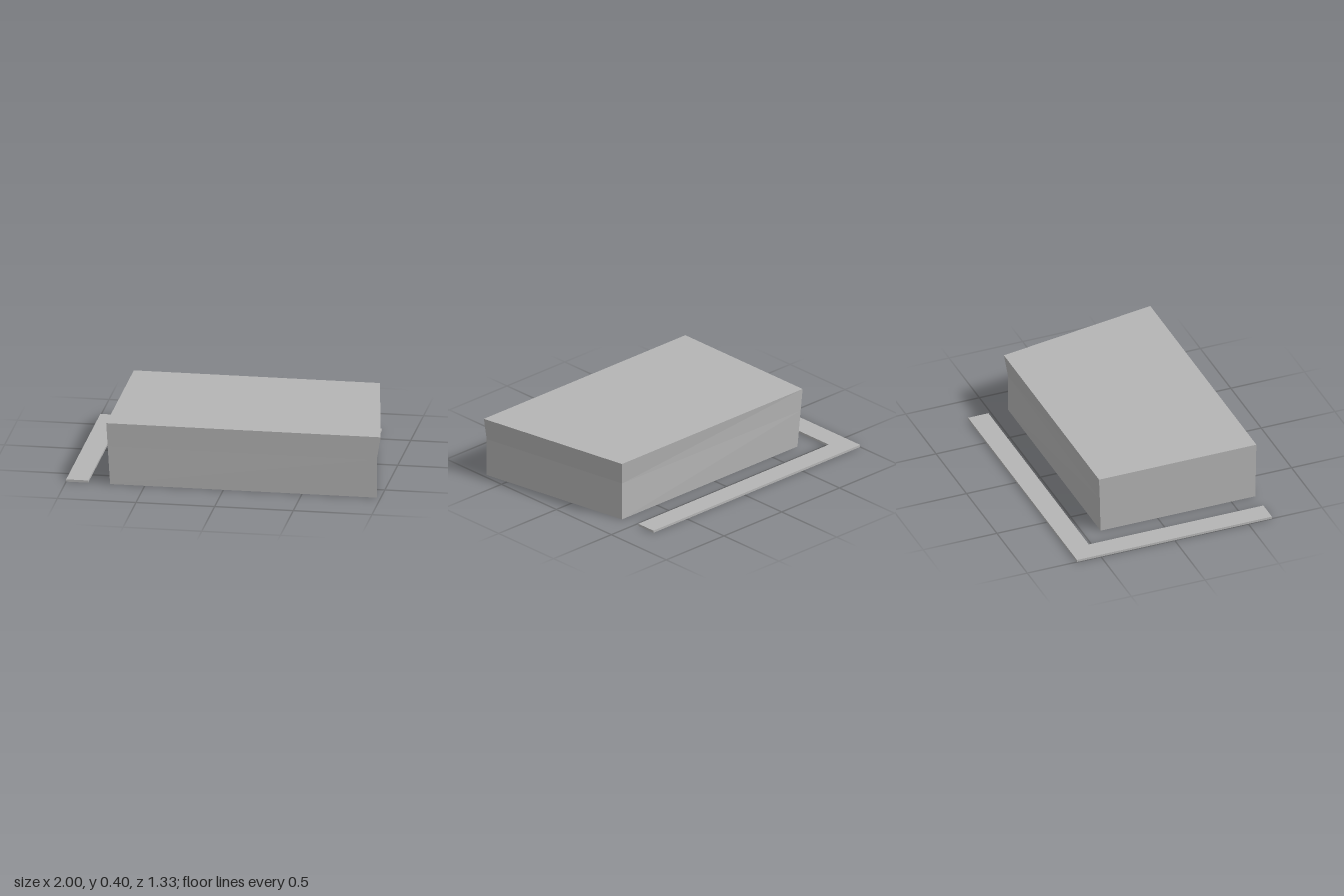
import * as THREE from 'three';

// Open-bottomed shell: stacked four-corner rings joined by walls and capped on top
function shellGeometry(rings) {
  const pos = [];
  const quad = (a, b, c, d) => pos.push(...a, ...b, ...c, ...a, ...c, ...d);
  for (let r = 0; r < rings.length - 1; r++) {
    for (let i = 0; i < 4; i++) {
      const j = (i + 1) % 4;
      quad(rings[r][i], rings[r][j], rings[r + 1][j], rings[r + 1][i]);
    }
  }
  quad(...rings[rings.length - 1]);
  const geo = new THREE.BufferGeometry();
  geo.setAttribute('position', new THREE.Float32BufferAttribute(pos, 3));
  geo.computeVertexNormals();
  return geo;
}

export function createModel() {
  const group = new THREE.Group();
  group.name = 'buildingWithKerb';

  const grey = new THREE.MeshStandardMaterial({ color: 0xb4b4b4 });
  grey.name = 'grey';
  grey.flatShading = true;
  grey.side = THREE.DoubleSide;

  // Building: corners run front left, front right, back right, back left as seen from the front
  const building = new THREE.Mesh(shellGeometry([
    [[-0.72, 0, 0.663], [0.975, 0, 0.66], [0.8, 0, -0.387], [-0.72, 0, -0.387]],
    [[-0.736, 0.25, 0.661], [0.975, 0.25, 0.66], [0.8, 0.25, -0.387], [-0.736, 0.25, -0.399]],
    [[-0.745, 0.4, 0.66], [1, 0.4, 0.66], [0.82, 0.4, -0.408], [-0.745, 0.4, -0.408]],
  ]), grey);
  building.name = 'building';
  group.add(building);

  // L-shaped kerb around the back and the -x side
  const outline = new THREE.Shape([
    [-1, -0.66], [-0.86, -0.66], [-0.86, 0.525], [0.79, 0.525], [0.79, 0.663], [-1, 0.663],
  ].map(([x, y]) => new THREE.Vector2(x, y)));
  const kerbGeo = new THREE.ExtrudeGeometry(outline, { depth: 0.015, bevelEnabled: false });
  kerbGeo.rotateX(-Math.PI / 2);
  const kerb = new THREE.Mesh(kerbGeo, grey);
  kerb.name = 'kerb';
  group.add(kerb);

  return group;
}
